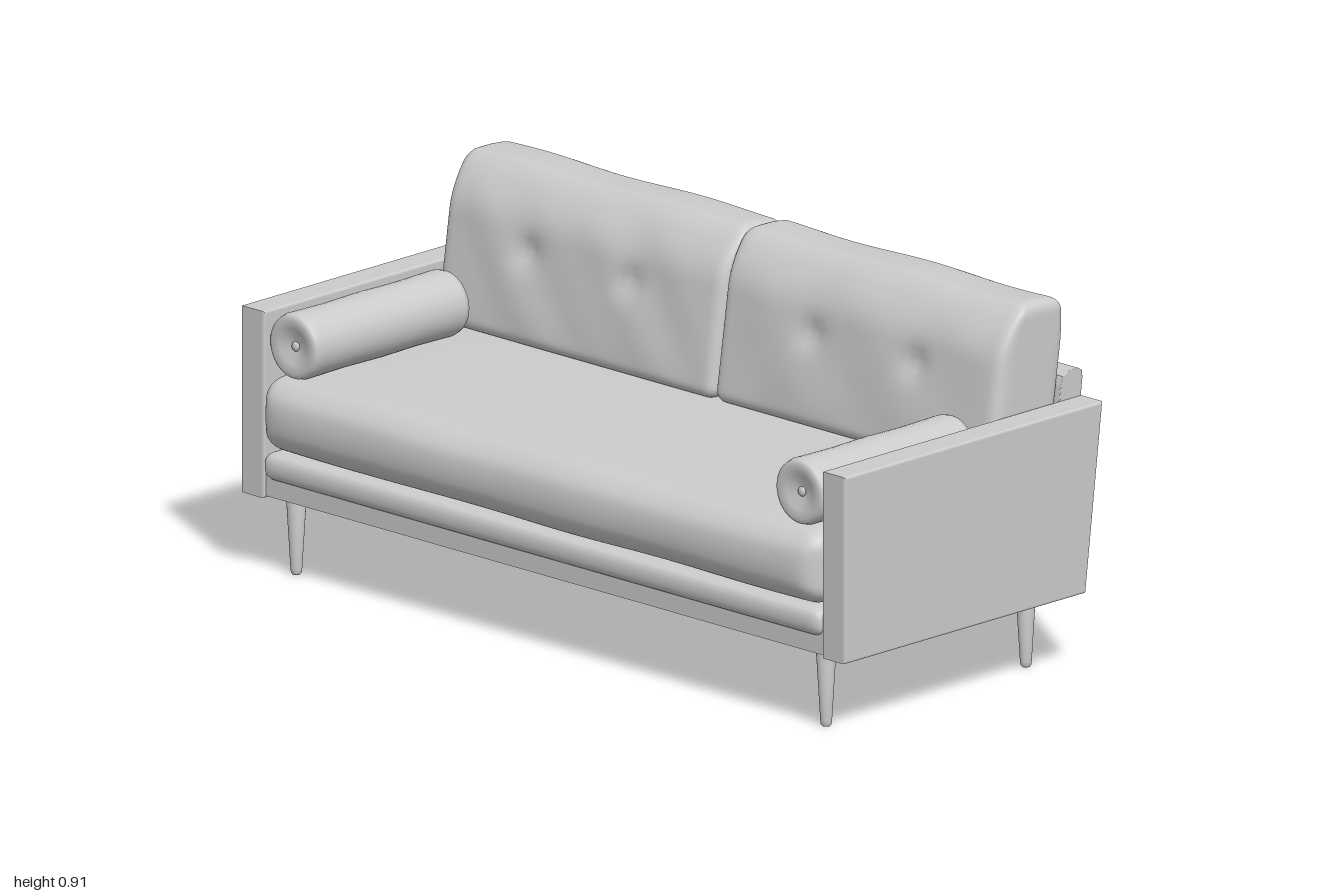
import * as THREE from 'three';
import { mergeVertices } from 'three/addons/utils/BufferGeometryUtils.js';

const material = new THREE.MeshStandardMaterial({ color: 0xcccccc });

function add(parent, name, geometry, x = 0, y = 0, z = 0) {
  const mesh = new THREE.Mesh(geometry, material);
  mesh.name = name;
  mesh.position.set(x, y, z);
  parent.add(mesh);
  return mesh;
}

// Side profile of [z, y] corners, extruded from x0 to x1 with a fine bevel.
function extrudeX(profile, x0, x1, bevel) {
  const shape = new THREE.Shape(profile.map(([z, y]) => new THREE.Vector2(-z, y)));
  const geometry = new THREE.ExtrudeGeometry(shape, {
    depth: x1 - x0 - 2 * bevel, bevelThickness: bevel, bevelSize: bevel,
    bevelOffset: -bevel, bevelSegments: 3,
  });
  return geometry.rotateY(Math.PI / 2).translate(x0 + bevel, 0, 0);
}

// Smooth padded box: rounded edges, then a rule that shapes the padding.
function softBox(w, h, d, r, [nx, ny, nz], rule) {
  let geometry = new THREE.BoxGeometry(2, 2, 2, nx, ny, nz);
  geometry.deleteAttribute('normal');
  geometry.deleteAttribute('uv');
  geometry = mergeVertices(geometry);
  const half = new THREE.Vector3(w / 2, h / 2, d / 2);
  const core = half.clone().subScalar(r);
  const coreMin = core.clone().negate();
  const p = new THREE.Vector3(), inner = new THREE.Vector3();
  const pos = geometry.attributes.position;
  for (let i = 0; i < pos.count; i++) {
    p.fromBufferAttribute(pos, i);
    // crowd the rows toward the edges
    for (const k of ['x', 'y', 'z']) p[k] = Math.sin(p[k] * Math.PI / 2) * half[k];
    inner.copy(p).clamp(coreMin, core);
    p.sub(inner).setLength(r).add(inner);
    if (rule) rule(p, half);
    pos.setXYZ(i, p.x, p.y, p.z);
  }
  geometry.computeVertexNormals();
  return geometry;
}

const dent = (dx, dy, size) => Math.exp(-(dx * dx + dy * dy) / (size * size));

// Back cushion with a rounded crown, backward lean, creases and two tufts.
function backCushionGeometry(side) {
  return softBox(0.925, 0.41, 0.212, 0.032, [56, 34, 16], (p, half) => {
    const t = p.y / half.y, s = p.x / half.x, f = p.z / half.z;
    const puff = (1 - s ** 4) * (1 - t ** 4);
    const crown = Math.max(0, (t - 0.35) / 0.65) ** 2;
    if (f > 0) {
      const tuft = dent(p.x + side * 0.16, p.y - 0.02, 0.035) + dent(p.x - side * 0.18, p.y - 0.02, 0.035);
      const crease = Math.sin(17 * p.x + 13 * p.y) + 0.6 * Math.sin(31 * p.x * side - 23 * p.y);
      p.z += f * (0.008 * puff - 0.018 * tuft - 0.06 * crown + 0.003 * crease * puff);
    } else {
      p.z += f * (0.004 * puff - 0.018 * crown);
      p.y -= f * f * 0.012 * crown;
    }
    p.y += 0.003 * Math.sin(p.x * 12 + side) * Math.max(t, 0);
    p.z -= 0.15 * p.y;
  });
}

// Cylindrical cushion with dished ends.
function bolsterGeometry() {
  const end = [[0, 0.246], [0.02, 0.248], [0.045, 0.258], [0.066, 0.262], [0.078, 0.256], [0.082, 0.24]];
  const points = [
    ...end.map(([r, y]) => [r, -y]), [0.08, -0.12], [0.082, 0], [0.08, 0.12],
    ...end.slice().reverse(),
  ].map(([r, y]) => new THREE.Vector2(r, y));
  return new THREE.LatheGeometry(points, 40).rotateX(Math.PI / 2);
}

export function createModel() {
  const sofa = new THREE.Group();
  sofa.name = 'sofa';

  // Frame
  const frame = new THREE.Group();
  frame.name = 'frame';
  sofa.add(frame);
  const armProfile = [[0.417, 0.19], [0.417, 0.651], [-0.4537, 0.651], [-0.3965, 0.19]];
  const backShape = [[-0.325, 0.193], [-0.385, 0.69], [-0.392, 0.71], [-0.41, 0.72],
    [-0.445, 0.72], [-0.457, 0.713], [-0.459, 0.695], [-0.397, 0.193]];
  for (const side of [-1, 1]) {
    const label = side > 0 ? 'left' : 'right';
    add(frame, label + 'Arm', extrudeX(armProfile, side > 0 ? 0.923 : -1, side > 0 ? 1 : -0.923, 0.006));
    // two back panels meet in a centre seam, flush with the arms
    add(frame, label + 'BackPanel', extrudeX(backShape, side > 0 ? 0 : -0.927, side > 0 ? 0.927 : 0, 0.002));
    // corner block that carries the back leg
    add(frame, label + 'CornerBlock', new THREE.BoxGeometry(0.09, 0.07, 0.09), side * 0.885, 0.232, -0.31);
  }
  // deep front rail, with the raised deck behind it
  add(frame, 'frontRail', new THREE.BoxGeometry(1.86, 0.073, 0.25), 0, 0.2315, 0.285);
  add(frame, 'seatDeck', new THREE.BoxGeometry(1.86, 0.044, 0.65), 0, 0.29, -0.025);
  add(frame, 'frontRoll', softBox(1.85, 0.07, 0.16, 0.03, [40, 10, 10]), 0, 0.273, 0.35);

  // Seat cushion, its front edge plumped forward and pinched slightly
  const seat = softBox(1.845, 0.19, 0.76, 0.05, [70, 18, 32], (p, half) => {
    const s = p.x / half.x, t = p.y / half.y, f = p.z / half.z;
    if (f > 0) {
      p.z += f ** 6 * (0.022 * (1 - t * t) * (1 - s ** 20) + 0.0015 * Math.sin(13 * p.x));
      p.y *= 1 - 0.13 * f ** 10;
    }
    p.y += t * 0.005 * (1 - s ** 4) * (1 - f ** 4);
    if (f > 0.5) p.y += 0.004 * (f - 0.5) * Math.sin(9 * p.x + 1) * t;
  });
  add(sofa, 'seatCushion', seat, 0, 0.404, 0.055);

  // Back cushions and bolsters
  const bolster = bolsterGeometry();
  const button = new THREE.SphereGeometry(0.012, 14, 10).scale(1, 1, 0.5);
  for (const side of [-1, 1]) {
    const label = side > 0 ? 'left' : 'right';
    add(sofa, label + 'BackCushion', backCushionGeometry(side), side * 0.461, 0.706, -0.286);
    const group = new THREE.Group();
    group.name = label + 'Bolster';
    group.position.set(side * 0.838, 0.579, 0.147);
    sofa.add(group);
    add(group, 'bolsterCushion', bolster);
    for (const end of [-1, 1]) add(group, 'bolsterButton', button, 0, 0, end * 0.25);
  }

  // Tapered legs
  const legProfile = [[0, 0], [0.009, 0], [0.013, 0.005], [0.014, 0.015], [0.025, 0.2], [0, 0.2]];
  const leg = new THREE.LatheGeometry(legProfile.map(([r, y]) => new THREE.Vector2(r, y)), 24);
  for (const x of [-0.877, 0.877]) {
    for (const z of [0.355, -0.318]) add(sofa, z > 0 ? 'frontLeg' : 'backLeg', leg, x, 0, z);
  }
  return sofa;
}
